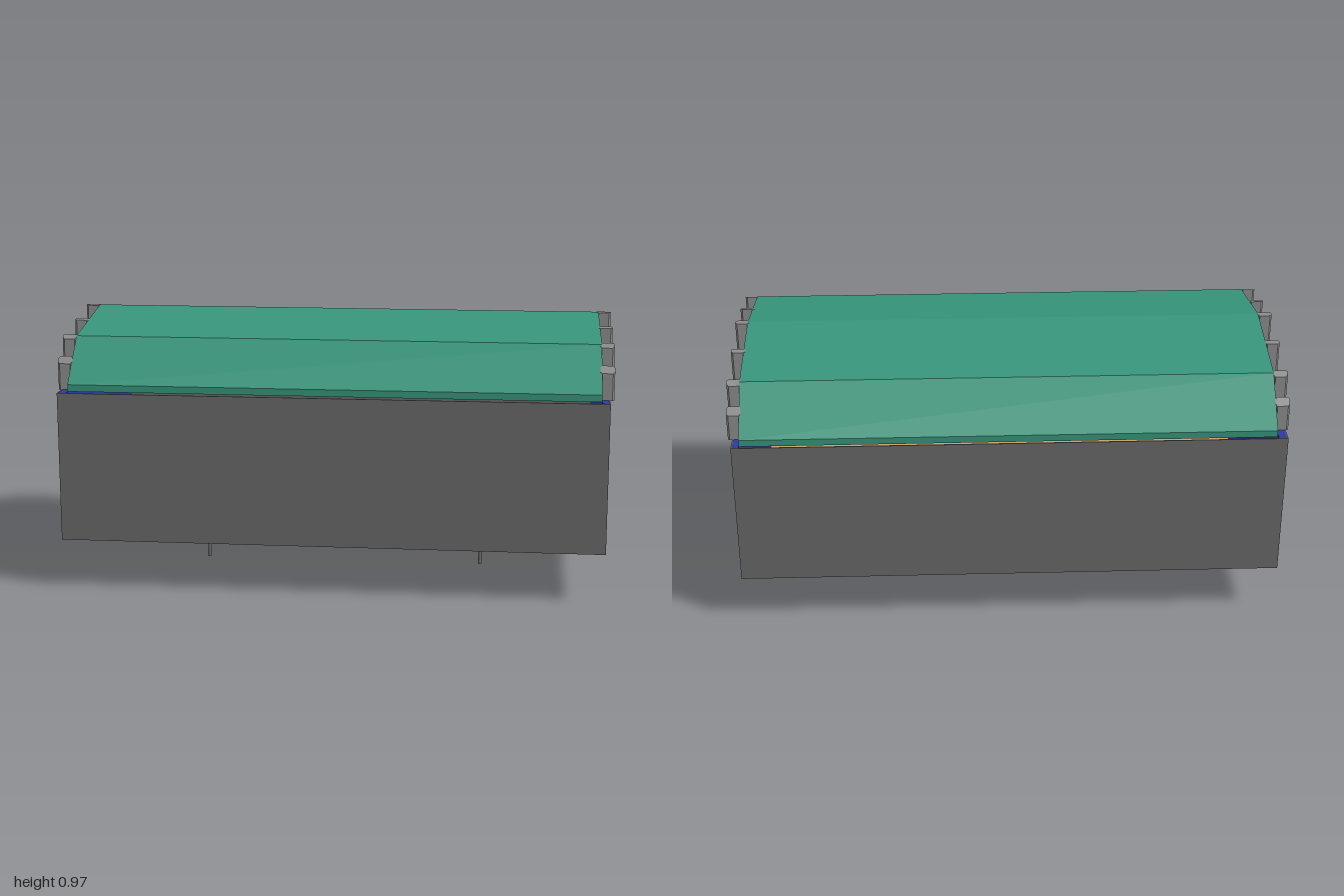
import * as THREE from 'three';

const mat = (color, side = THREE.FrontSide) =>
  new THREE.MeshStandardMaterial({ color, side, flatShading: true });

const wallMat = mat(0x686868), postMat = mat(0x8c8c8c), roofMat = mat(0x36947a);
const blueMat = mat(0x2f3a9a), floorMat = mat(0xc9a066), lineMat = mat(0xb0b0b0);
const benchMat = mat(0xe07a28), boardMat = mat(0xcccccc);

const BASE = 0.18, EAVE = 0.725, DEPTH = 0.52, COURT_Z = 0.07;
const X0 = -0.99, X1 = 0.98;

// Outer roof line as [z, y], from front eave to back eave
const roofLine = [[0.52, 0.757], [0.368, 0.91], [0, 0.972], [-0.368, 0.91], [-0.52, 0.757]];

// Roof height at a given z
function roofY(z) {
  const a = Math.abs(z);
  return a < 0.368 ? 0.972 - (a / 0.368) * 0.062 : 0.91 - ((a - 0.368) / 0.152) * 0.153;
}

function add(parent, name, geometry, material) {
  const mesh = new THREE.Mesh(geometry, material);
  mesh.name = name;
  parent.add(mesh);
  return mesh;
}

// Box given by its minimum and maximum corners
function box(parent, name, material, [ax, ay, az], [bx, by, bz]) {
  const mesh = add(parent, name, new THREE.BoxGeometry(bx - ax, by - ay, bz - az), material);
  mesh.position.set((ax + bx) / 2, (ay + by) / 2, (az + bz) / 2);
  return mesh;
}

function buildShell(model) {
  const shell = new THREE.Group();
  shell.name = 'hall';
  const t = 0.004;
  box(shell, 'frontWall', wallMat, [X0, BASE, DEPTH - t], [X1, EAVE, DEPTH]);
  box(shell, 'backWall', wallMat, [X0, BASE, -DEPTH], [X1, EAVE, -DEPTH + t]);
  box(shell, 'leftWall', wallMat, [X1 - t, BASE, -DEPTH + t], [X1, EAVE, DEPTH - t]);
  box(shell, 'rightWall', wallMat, [X0, BASE, -DEPTH + t], [X0 + t, EAVE, DEPTH - t]);
  // Padded linings inside the two end walls
  box(shell, 'leftLining', blueMat, [0.952, BASE, -DEPTH + t], [X1 - t, EAVE + 0.001, DEPTH - t]);
  box(shell, 'rightLining', blueMat, [X0 + t, BASE, -DEPTH + t], [-0.957, EAVE + 0.001, DEPTH - t]);
  box(shell, 'floor', floorMat, [-0.957, BASE + 0.001, -DEPTH + t], [0.952, BASE + 0.006, DEPTH - t]);
  model.add(shell);
}

function buildRoof(model) {
  // Folded sheet: outer line, then the same line lowered by its thickness
  const points = [...roofLine, ...roofLine.map(([z, y]) => [z, y - 0.025]).reverse()];
  const shape = new THREE.Shape(points.map(([z, y]) => new THREE.Vector2(-z, y)));
  const geometry = new THREE.ExtrudeGeometry(shape, { depth: 1.9, bevelEnabled: false });
  geometry.translate(0, 0, -0.95).rotateY(Math.PI / 2);
  add(model, 'roof', geometry, roofMat);
}

function buildPosts(model) {
  const posts = new THREE.Group();
  posts.name = 'roofPosts';
  for (const side of [1, -1]) {
    for (const z of [0.445, 0.368, 0.183, 0, -0.183, -0.368, -0.445]) {
      const h = z === 0 ? 0.015 : 0.012;
      // Plan with chamfered ends
      const plan = [[-0.026, -h * 0.5], [-0.019, -h], [0.019, -h], [0.026, -h * 0.5],
        [0.026, h * 0.5], [0.019, h], [-0.019, h], [-0.026, h * 0.5]];
      const shape = new THREE.Shape(plan.map(([x, y]) => new THREE.Vector2(x, y)));
      const geometry = new THREE.ExtrudeGeometry(shape, { depth: 1, bevelEnabled: false });
      geometry.rotateX(-Math.PI / 2);
      // Cut the top to follow the roof slope
      const p = geometry.attributes.position;
      for (let i = 0; i < p.count; i++) {
        p.setY(i, p.getY(i) > 0.5 ? roofY(z + p.getZ(i)) + 0.001 : EAVE);
      }
      geometry.computeVertexNormals();
      add(posts, 'roofPost', geometry, postMat).position.set(side > 0 ? 0.969 : -0.974, 0, z);
    }
  }
  model.add(posts);
}

function buildCourt(model) {
  const court = new THREE.Group();
  court.name = 'courtMarkings';
  court.position.z = COURT_Z;
  const low = BASE, high = BASE + 0.008, w = 0.004;
  const line = (x0, z0, x1, z1, half = w) => box(court, 'courtLine', lineMat,
    [Math.min(x0, x1) - half, low, Math.min(z0, z1) - half],
    [Math.max(x0, x1) + half, high, Math.max(z0, z1) + half]);
  const arc = (x, r, start, end) => {
    const shape = new THREE.Shape();
    shape.absarc(0, 0, r + w, start, end, false);
    shape.absarc(0, 0, r - w, end, start, true);
    const geometry = new THREE.ExtrudeGeometry(shape,
      { depth: high - low, bevelEnabled: false, curveSegments: 24 });
    geometry.rotateX(-Math.PI / 2);
    add(court, 'courtArc', geometry, lineMat).position.set(x, low, 0);
  };
  // Boundary and half-way line
  for (const s of [1, -1]) {
    line(-0.525, s * 0.26, 0.525, s * 0.26, 0.008);
    line(s * 0.525, -0.26, s * 0.525, 0.26, 0.008);
  }
  line(0, -0.26, 0, 0.26);
  arc(0, 0.065, 0, Math.PI * 2);
  // Keys, free-throw circles and three-point arcs
  for (const s of [1, -1]) {
    for (const z of [-0.075, 0.075]) line(s * 0.525, z, s * 0.31, z);
    line(s * 0.31, -0.075, s * 0.31, 0.075);
    arc(s * 0.31, 0.065, 0, Math.PI * 2);
    const start = s > 0 ? Math.PI / 2 : -Math.PI / 2;
    arc(s * 0.48, 0.225, start, start + Math.PI);
    for (const z of [-0.225, 0.225]) line(s * 0.525, z, s * 0.48, z);
  }
  model.add(court);
}

function buildHoops(model) {
  for (const s of [1, -1]) {
    const hoop = new THREE.Group();
    hoop.name = s > 0 ? 'leftHoop' : 'rightHoop';
    const pole = add(hoop, 'pole', new THREE.CylinderGeometry(0.006, 0.006, 0.32, 12), wallMat);
    pole.position.set(s * 0.525, 0.16, 0);
    box(hoop, 'arm', wallMat,
      [Math.min(s * 0.525, s * 0.49), 0.305, -0.004], [Math.max(s * 0.525, s * 0.49), 0.313, 0.004]);
    box(hoop, 'backboard', boardMat, [s * 0.488 - 0.002, 0.29, -0.035], [s * 0.488 + 0.002, 0.335, 0.035]);
    const rim = add(hoop, 'rim', new THREE.TorusGeometry(0.01, 0.0015, 6, 20), benchMat);
    rim.rotation.x = Math.PI / 2;
    rim.position.set(s * 0.474, 0.298, 0);
    hoop.position.z = COURT_Z;
    model.add(hoop);
  }
}

function buildBleachers(model) {
  // Stepped seating along the back wall
  const bleachers = new THREE.Group();
  bleachers.name = 'bleachers';
  const rows = 6, run = 0.04, rise = 0.022;
  for (let i = 0; i < rows; i++) {
    const z = -0.515 + i * run;
    box(bleachers, 'bench', benchMat,
      [-0.8, BASE + 0.006, z], [0.8, BASE + 0.006 + (rows - i) * rise, z + run]);
  }
  model.add(bleachers);
}

export function createModel() {
  const model = new THREE.Group();
  model.name = 'sportsHall';
  buildShell(model);
  buildRoof(model);
  buildPosts(model);
  buildCourt(model);
  buildHoops(model);
  buildBleachers(model);
  return model;
}
